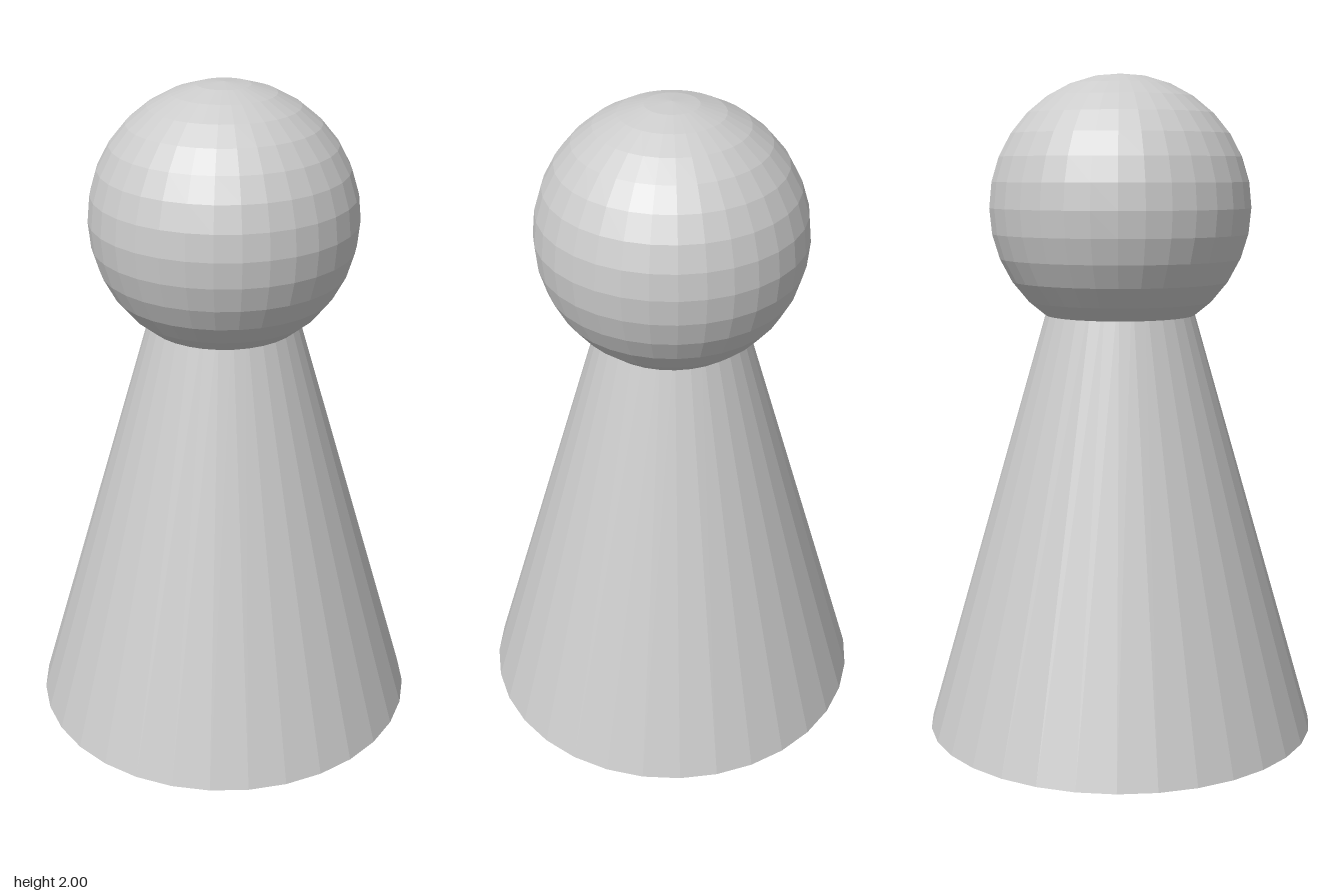
import * as THREE from 'three';

export function createModel() {
  const group = new THREE.Group();
  const material = new THREE.MeshStandardMaterial({ color: 0xcccccc, flatShading: true });
  const sides = 32;

  const add = (name, geometry, y) => {
    const mesh = new THREE.Mesh(geometry, material);
    mesh.name = name;
    mesh.position.y = y;
    group.add(mesh);
  };

  // Tapered body, its top tucked inside the head
  const bodyHeight = 1.4;
  add('body', new THREE.CylinderGeometry(0.194, 0.597, bodyHeight, sides), bodyHeight / 2);

  // Round head
  const headRadius = 0.395;
  add('head', new THREE.SphereGeometry(headRadius, sides, sides / 2), 2 - headRadius);

  return group;
}
